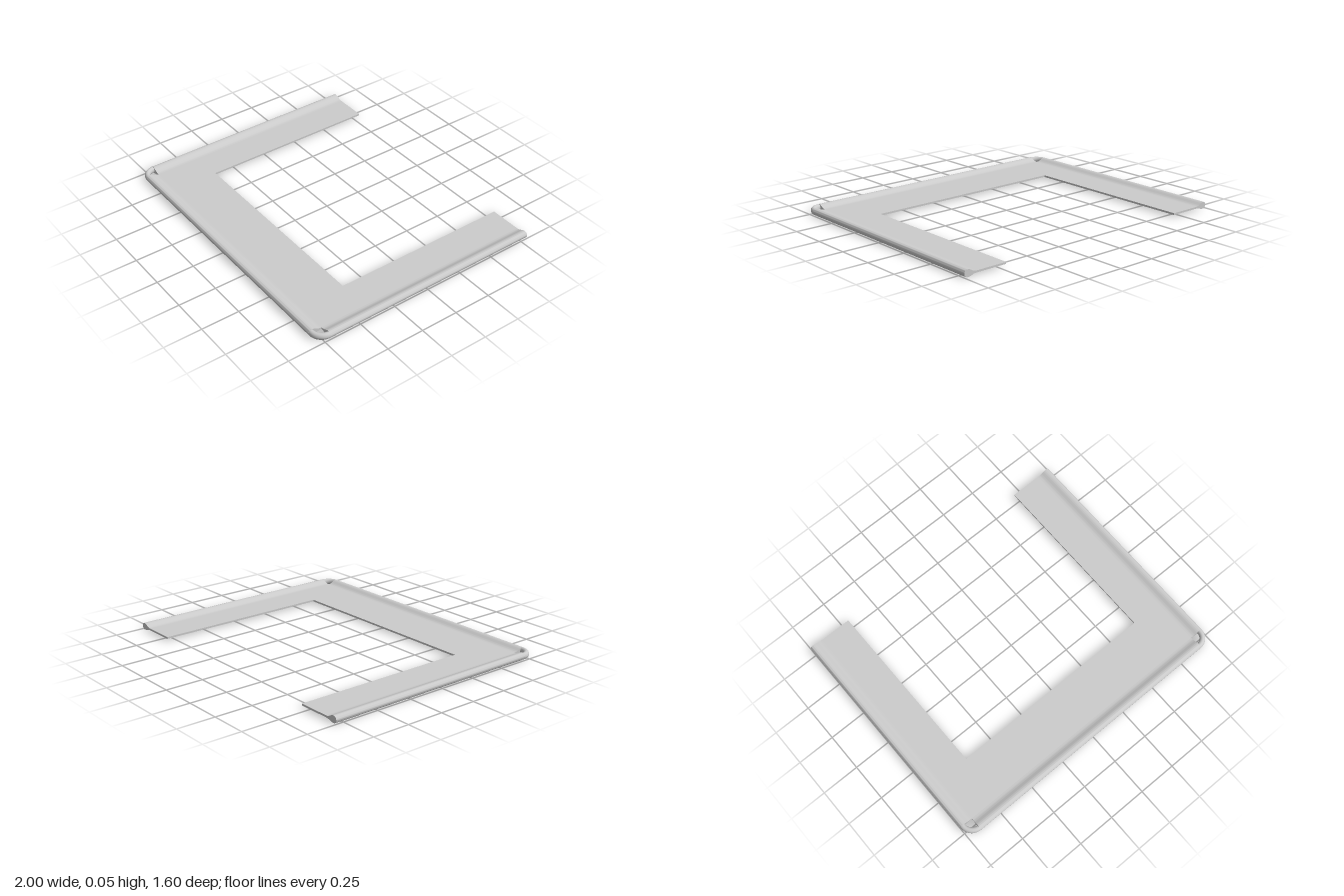
import * as THREE from 'three';
import { toCreasedNormals } from 'three/addons/utils/BufferGeometryUtils.js';

const HALF_W = 0.91, FRONT = 0.71, BACK = -0.8; // plate limits, the rim lies outside them
const RIM = 0.09, HEIGHT = 0.045;
const PLATE_LOW = 0.012, PLATE_HIGH = 0.024;

export function createModel() {
  const group = new THREE.Group();
  const material = new THREE.MeshStandardMaterial({ color: 0xcccccc });

  const add = (name, geometry) => {
    const mesh = new THREE.Mesh(geometry, material);
    mesh.name = name;
    group.add(mesh);
    return mesh;
  };

  // thin U-shaped plate, open at the back
  const u = new THREE.Shape([
    [-HALF_W, -BACK], [-HALF_W, -FRONT], [HALF_W, -FRONT], [HALF_W, -BACK],
    [0.7, -BACK], [0.7, -0.4], [-0.7, -0.4], [-0.7, -BACK],
  ].map(([x, y]) => new THREE.Vector2(x, y)));
  const plate = new THREE.ExtrudeGeometry(u, { depth: PLATE_HIGH - PLATE_LOW, bevelEnabled: false });
  plate.rotateX(-Math.PI / 2);
  plate.translate(0, PLATE_LOW, 0);
  add('plate', plate);

  // rim section: flares from the plate into a rounded bead
  const r = HEIGHT / 2;
  const section = new THREE.Shape();
  section.moveTo(0, PLATE_LOW);
  section.bezierCurveTo(0.035, PLATE_LOW, 0.035, 0, RIM - r, 0);
  section.absarc(RIM - r, r, r, -Math.PI / 2, Math.PI / 2, false);
  section.bezierCurveTo(0.04, HEIGHT, 0.035, PLATE_HIGH, 0, PLATE_HIGH);
  section.closePath();

  const rim = (name, length, angle, x, z) => {
    const g = new THREE.ExtrudeGeometry(section, { depth: length, bevelEnabled: false, curveSegments: 12 });
    g.translate(0, 0, -length / 2);
    const mesh = add(name, toCreasedNormals(g, 0.7));
    mesh.rotation.y = angle;
    mesh.position.set(x, 0, z);
  };
  const midZ = (FRONT + BACK) / 2;
  rim('leftRim', FRONT - BACK, 0, HALF_W, midZ);
  rim('rightRim', FRONT - BACK, Math.PI, -HALF_W, midZ);
  rim('frontRim', 2 * HALF_W, -Math.PI / 2, 0, FRONT);

  // rounded corner beads, leaving a quarter-round hole inside each
  const loop = [];
  for (let i = 0; i <= 20; i++) {
    const a = (i / 20) * Math.PI * 2;
    loop.push(new THREE.Vector2(0.0715 + 0.0185 * Math.cos(a), r + 0.0215 * Math.sin(a)));
  }
  for (const side of [1, -1]) {
    const start = side > 0 ? 0 : -Math.PI / 2;
    const corner = add(side > 0 ? 'leftCorner' : 'rightCorner',
      new THREE.LatheGeometry(loop, 14, start, Math.PI / 2));
    corner.position.set(side * HALF_W, 0, FRONT);
  }

  return group;
}
